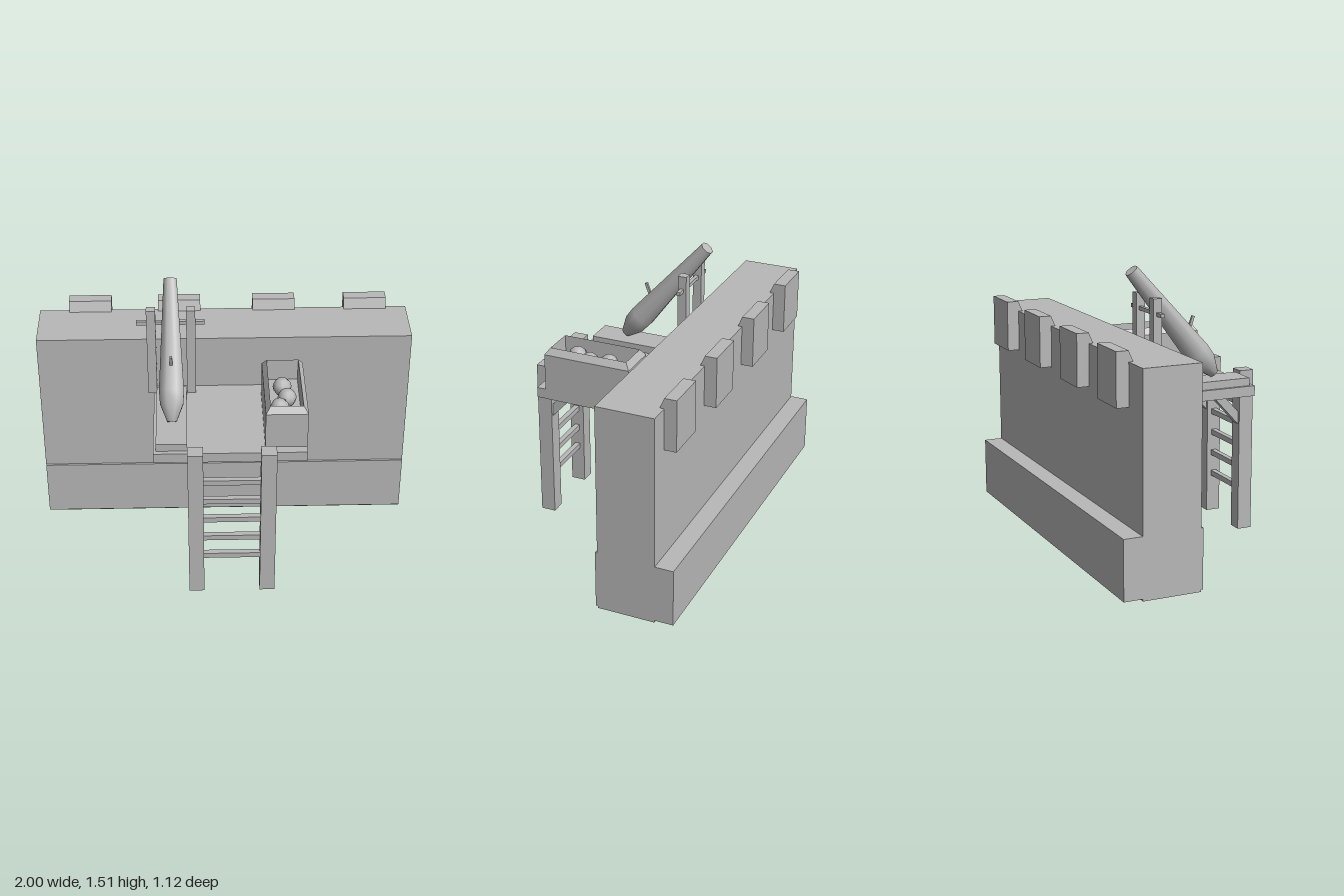
import * as THREE from 'three';

const stone = new THREE.MeshStandardMaterial({ color: 0xb8b8b8, side: THREE.DoubleSide });
stone.name = 'plain grey';

export function createModel() {
  const model = new THREE.Group();
  model.name = 'wallGunPlatform';

  const add = (name, geometry) => {
    const mesh = new THREE.Mesh(geometry, stone);
    mesh.name = name;
    model.add(mesh);
    return mesh;
  };

  // Box from its limits; openBottom leaves out the downward face
  const box = (name, [x0, x1], [y0, y1], [z0, z1], openBottom = false) => {
    const g = new THREE.BoxGeometry(x1 - x0, y1 - y0, z1 - z0);
    g.translate((x0 + x1) / 2, (y0 + y1) / 2, (z0 + z1) / 2);
    if (openBottom) {
      g.setIndex(Array.from(g.index.array).filter((_, i) => i < 18 || i > 23));
      g.clearGroups();
    }
    return add(name, g);
  };

  // Prism from a (z, y) side profile, spanning x0..x1
  const sideProfile = (name, points, x0, x1) => {
    const shape = new THREE.Shape(points.map(([z, y]) => new THREE.Vector2(-z, y)));
    const g = new THREE.ExtrudeGeometry(shape, { depth: x1 - x0, bevelEnabled: false });
    g.rotateY(Math.PI / 2);
    g.translate(x0, 0, 0);
    return add(name, g);
  };

  // Wall and its footing
  box('wall', [-1, 1], [0.004, 1.145], [-0.46, -0.15], true);
  box('wallFooting', [-0.999, 0.999], [0.015, 0.33], [-0.56, -0.138], true);

  // Battlements with a sloped inner edge
  for (const x of [-0.725, -0.24, 0.275, 0.775]) {
    sideProfile('battlement', [[-0.435, 1.14], [-0.46, 1.2], [-0.525, 1.2],
      [-0.525, 0.925], [-0.455, 0.925], [-0.455, 1.14]], x - 0.115, x + 0.115);
  }

  // Platform, ladder legs and braces
  box('platform', [-0.38, 0.41], [0.79, 0.845], [-0.155, 0.475]);
  for (const x of [-0.165, 0.21]) {
    box('leg', [x - 0.04, x + 0.04], [0, 0.89], [0.48, 0.56], true);
    sideProfile('frontBrace', [[0.48, 0.592], [0.48, 0.662], [0.356, 0.792], [0.296, 0.792]],
      x - 0.025, x + 0.025);
    sideProfile('backBrace', [[-0.152, 0.592], [0.032, 0.792], [-0.028, 0.792], [-0.152, 0.662]],
      x - 0.025, x + 0.025);
  }
  for (let i = 0; i < 5; i++) {
    const y = 0.22 + i * 0.12;
    box('rung', [-0.127, 0.172], [y - 0.015, y + 0.015], [0.505, 0.535]);
  }

  // Gun bed, posts and crossbar
  box('gunBed', [-0.365, -0.205], [0.84, 0.887], [-0.08, 0.45]);
  for (const x of [-0.387, -0.178]) {
    box('post', [x - 0.024, x + 0.024], [0.845, 1.355], [-0.13, -0.082]);
  }
  box('crossbar', [-0.465, -0.105], [1.265, 1.285], [-0.115, -0.095]);

  // Tapered barrel, its muzzle face and the small lever
  const profile = [[0, 0], [0.027, 0], [0.065, 0.09], [0.07, 0.16], [0.037, 0.746]];
  const barrel = add('barrel', new THREE.LatheGeometry(
    profile.map(([r, t]) => new THREE.Vector2(r, t)), 8, Math.PI / 8));
  const cap = new THREE.CircleGeometry(0.037, 8, Math.PI / 8);
  cap.rotateX(-Math.PI / 2);
  cap.translate(0, 0.746, 0);
  const muzzle = add('muzzle', cap);
  for (const part of [barrel, muzzle]) {
    part.position.set(-0.282, 0.91, 0.28);
    part.rotation.x = -0.689;
  }
  const lever = add('lever', new THREE.BoxGeometry(0.014, 0.09, 0.014));
  lever.position.set(-0.282, 1.185, 0.142);
  lever.rotation.x = 0.35;

  // Open crate: rectangular cross-sections from outer foot over the rim to the floor
  const rings = [[0.79, 0], [1.045, 0], [1.08, 0.025], [0.96, 0.028]];
  const corners = ([y, d]) => [
    [0.195 + d, y, 0.425 - d], [0.412 - d, y, 0.425 - d],
    [0.412 - d, y, -0.055 + d], [0.195 + d, y, -0.055 + d]];
  const vertices = [];
  const quad = (a, b, c, d) => vertices.push(...a, ...b, ...c, ...a, ...c, ...d);
  for (let i = 0; i < rings.length - 1; i++) {
    const low = corners(rings[i]), high = corners(rings[i + 1]);
    for (let k = 0; k < 4; k++) {
      const n = (k + 1) % 4;
      quad(low[k], low[n], high[n], high[k]);
    }
  }
  quad(...corners(rings[3]));
  const crate = new THREE.BufferGeometry();
  crate.setAttribute('position', new THREE.Float32BufferAttribute(vertices, 3));
  crate.computeVertexNormals();
  add('crate', crate);

  // Shot lying in the crate
  for (const [x, z] of [[0.295, 0.11], [0.315, 0.212], [0.272, 0.302]]) {
    const ball = add('shot', new THREE.SphereGeometry(0.05, 8, 6));
    ball.position.set(x, 1.005, z);
  }

  return model;
}
